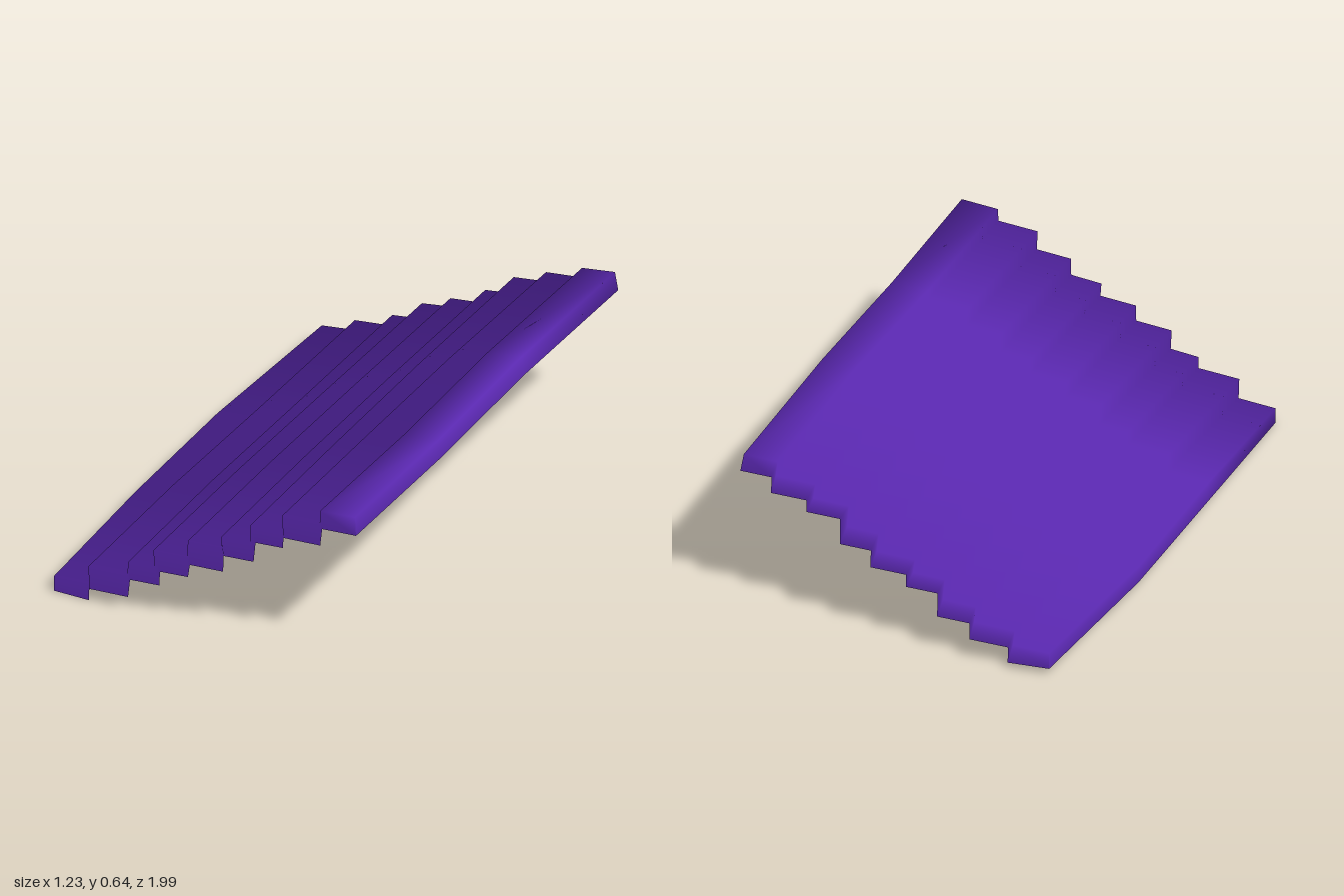
import * as THREE from 'three';

// Board profiles at the two ends: seam x positions above and below, upper and lower heights
const FRONT = {
  seams: [-0.617, -0.475, -0.32, -0.215, -0.08, 0.055, 0.17, 0.3, 0.45, 0.588],
  underSeams: [-0.617, -0.478, -0.318, -0.195, -0.078, 0.06, 0.185, 0.3, 0.452, 0.592],
  top: [0.06, 0.143, 0.2, 0.28, 0.353, 0.408, 0.485, 0.563, 0.622],
  bottom: [0.002, 0.052, 0.13, 0.2, 0.257, 0.335, 0.42, 0.475, 0.55],
};
const BACK = {
  seams: [-0.568, -0.435, -0.285, -0.165, -0.05, 0.09, 0.205, 0.335, 0.48, 0.604],
  underSeams: [-0.568, -0.415, -0.268, -0.143, -0.022, 0.114, 0.233, 0.362, 0.498, 0.617],
  top: [0.088, 0.147, 0.21, 0.292, 0.345, 0.418, 0.503, 0.56, 0.618],
  bottom: [0.025, 0.075, 0.138, 0.23, 0.277, 0.343, 0.443, 0.488, 0.55],
};
// Stations along the length: blend, height sway, swelling of the boards, end-facing tilt
const STATIONS = [
  { t: 0, sway: 0, swell: 0, facing: 1.5 },
  { t: 0.32, sway: -0.006, swell: 0.014, facing: 0 },
  { t: 0.64, sway: 0.013, swell: 0.002, facing: 0 },
  { t: 1, sway: 0, swell: 0, facing: -1.5 },
];
const BOARDS = FRONT.top.length;

// Stepped upper line and the lower rim line, both left to right
function profile({ t, sway, swell }) {
  const mix = (key, i) => THREE.MathUtils.lerp(FRONT[key][i], BACK[key][i], t);
  const upper = [], lower = [];
  for (let i = 0; i < BOARDS; i++) {
    const u = i / (BOARDS - 1);
    const lift = sway * u;
    const bulge = i < BOARDS - 1 ? swell : 0;
    for (const side of [0, 1]) {
      // The left edge only tapers over the last stretch
      const straight = i + side === 0 && t < 1;
      const x = straight ? FRONT.seams[0] : mix('seams', i + side);
      const xUnder = straight ? x : mix('underSeams', i + side);
      const lean = side === 0 && i > 0 ? 0.006 : 0;
      const zFront = 0.968 + 0.02 * u + 0.006 * (i % 2);
      const zBack = -0.985 + 0.03 * u - 0.012 * side;
      const z = THREE.MathUtils.lerp(zFront, zBack, t);
      upper.push([x, mix('top', i) + side * 0.01 + lift + bulge, z]);
      lower.push([xUnder + lean, mix('bottom', i) + side * (i ? 0.008 : -0.002) + lift, z]);
    }
  }
  return { upper, lower };
}

// Treads and risers count equally at each corner, which blends the steps softly
function lineNormals(line, facing) {
  const edgeNormal = (a, b) =>
    a && b ? new THREE.Vector3(a[1] - b[1], b[0] - a[0], 0).normalize() : new THREE.Vector3();
  return line.map((p, j) =>
    edgeNormal(line[j - 1], p)
      .add(edgeNormal(p, line[j + 1]))
      .add(new THREE.Vector3(0, 0, facing))
      .normalize()
      .toArray()
  );
}

// Shell open underneath: stepped top, a skirt down each side and a cap at each end
function steppedShell() {
  const positions = [], normals = [], index = [];
  const quad = (a, b, c, d) => index.push(a, b, c, a, c, d);
  const profiles = STATIONS.map(profile);
  const n = BOARDS * 2 + 2;

  profiles.forEach(({ upper, lower }, s) => {
    const line = [lower[0], ...upper, lower[lower.length - 1]];
    positions.push(...line);
    normals.push(...lineNormals(line, STATIONS[s].facing));
    if (s === 0) return;
    for (let j = 0; j < n - 1; j++) {
      const a = (s - 1) * n + j, d = s * n + j;
      quad(a, a + 1, d + 1, d);
    }
  });

  // End caps share the top line with the skin so the shading stays soft
  for (const s of [0, STATIONS.length - 1]) {
    const rim = positions.length;
    const { lower } = profiles[s];
    positions.push(...lower);
    normals.push(...lower.map(() => [0, 0, s === 0 ? 1 : -1]));
    for (let j = 0; j < lower.length - 1; j++) {
      const a = s * n + 1 + j, b = rim + j;
      if (s === 0) quad(a, b, b + 1, a + 1);
      else quad(a + 1, b + 1, b, a);
    }
  }

  const geometry = new THREE.BufferGeometry();
  geometry.setAttribute('position', new THREE.Float32BufferAttribute(positions.flat(), 3));
  geometry.setAttribute('normal', new THREE.Float32BufferAttribute(normals.flat(), 3));
  geometry.setIndex(index);
  return geometry;
}

export function createModel() {
  const group = new THREE.Group();
  group.name = 'slopedBoardPanel';
  const material = new THREE.MeshStandardMaterial({ color: 0x5a28b0, side: THREE.DoubleSide });
  const panel = new THREE.Mesh(steppedShell(), material);
  panel.name = 'overlappingBoards';
  group.add(panel);
  return group;
}
